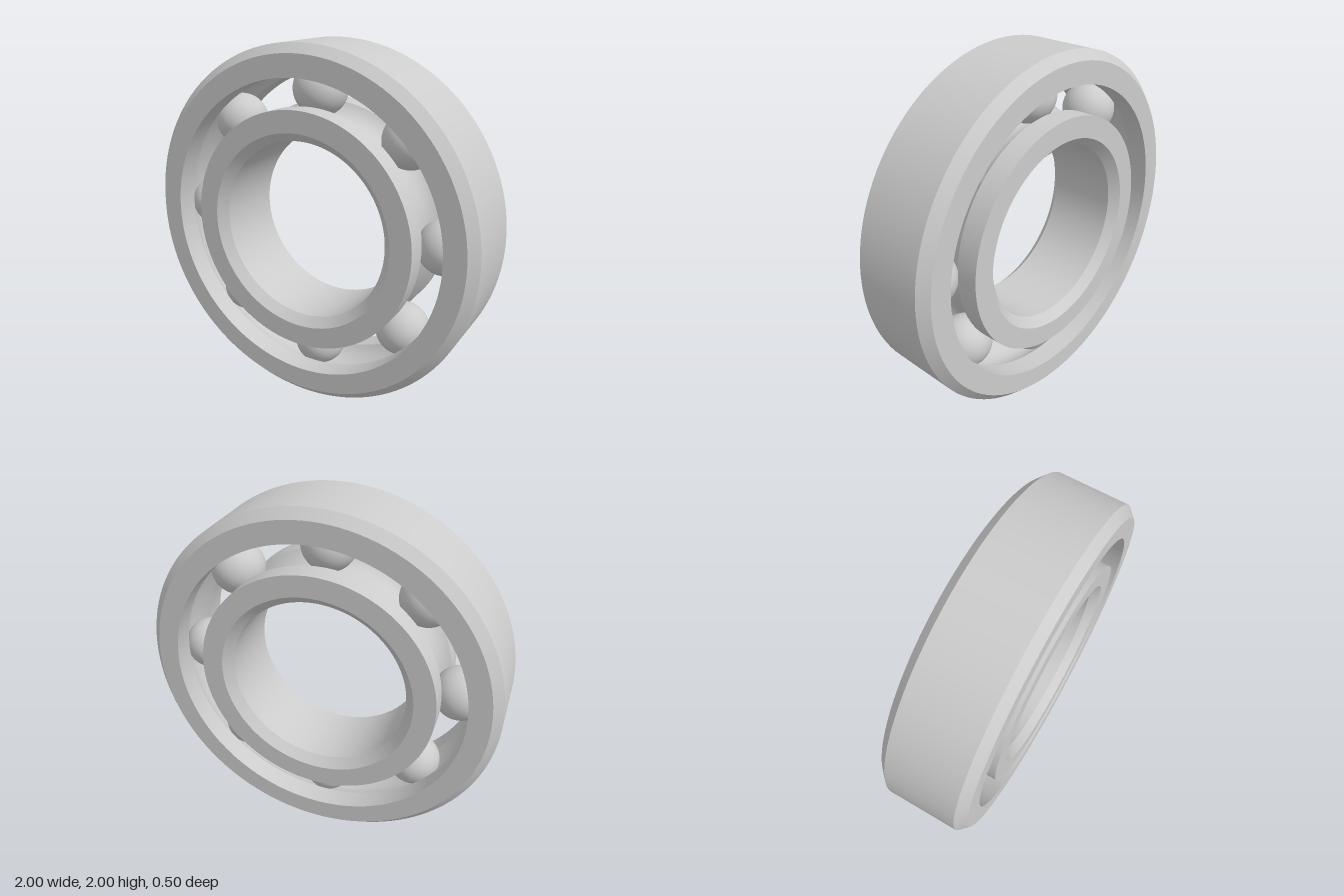
import * as THREE from 'three';
import { toCreasedNormals } from 'three/addons/utils/BufferGeometryUtils.js';

const HALF_WIDTH = 0.25, CHAMFER = 0.05;
const BORE = 0.5, INNER_LAND = 0.67, OUTER_LAND = 0.83, RIM = 1;
const PITCH = 0.75, BALL_RADIUS = 0.15, BALL_COUNT = 8;
const GROOVE_RADIUS = 0.151;

// Raceway arc in (radius, axis) space, centred on the ball pitch circle
function groove(from, to, steps = 20) {
  return Array.from({ length: steps + 1 }, (_, i) => {
    const a = from + (to - from) * i / steps;
    return [PITCH + GROOVE_RADIUS * Math.cos(a), GROOVE_RADIUS * Math.sin(a)];
  });
}

// Turns a closed counterclockwise profile about the z axis
function ring(name, profile, material) {
  const points = [...profile, profile[0]].map(([r, y]) => new THREE.Vector2(r, y));
  const geometry = toCreasedNormals(new THREE.LatheGeometry(points, 128), 0.5);
  geometry.rotateX(Math.PI / 2);
  const mesh = new THREE.Mesh(geometry, material);
  mesh.name = name;
  return mesh;
}

export function createModel() {
  const model = new THREE.Group();
  model.name = 'ballBearing';
  const material = new THREE.MeshStandardMaterial({ color: 0xcccccc });
  const bearing = new THREE.Group();
  bearing.name = 'bearing';
  bearing.position.y = RIM;
  model.add(bearing);

  const H = HALF_WIDTH, C = CHAMFER;
  const a = Math.acos((OUTER_LAND - PITCH) / GROOVE_RADIUS);

  // Outer ring: chamfered rim, raceway on the inside
  bearing.add(ring('outerRing', [
    [RIM - C, -H], [RIM, -H + C], [RIM, H - C], [RIM - C, H],
    [OUTER_LAND, H], ...groove(a, -a), [OUTER_LAND, -H],
  ], material));

  // Inner ring: chamfered bore, raceway on the outside
  bearing.add(ring('innerRing', [
    [INNER_LAND, -H], ...groove(Math.PI + a, Math.PI - a), [INNER_LAND, H],
    [BORE + C, H], [BORE, H - C], [BORE, -H + C], [BORE + C, -H],
  ], material));

  // Balls evenly spaced in the raceway
  const ballGeometry = new THREE.SphereGeometry(BALL_RADIUS, 48, 32);
  for (let i = 0; i < BALL_COUNT; i++) {
    const angle = i / BALL_COUNT * Math.PI * 2;
    const ball = new THREE.Mesh(ballGeometry, material);
    ball.name = `ball${i + 1}`;
    ball.position.set(PITCH * Math.cos(angle), PITCH * Math.sin(angle), 0);
    bearing.add(ball);
  }
  return model;
}
